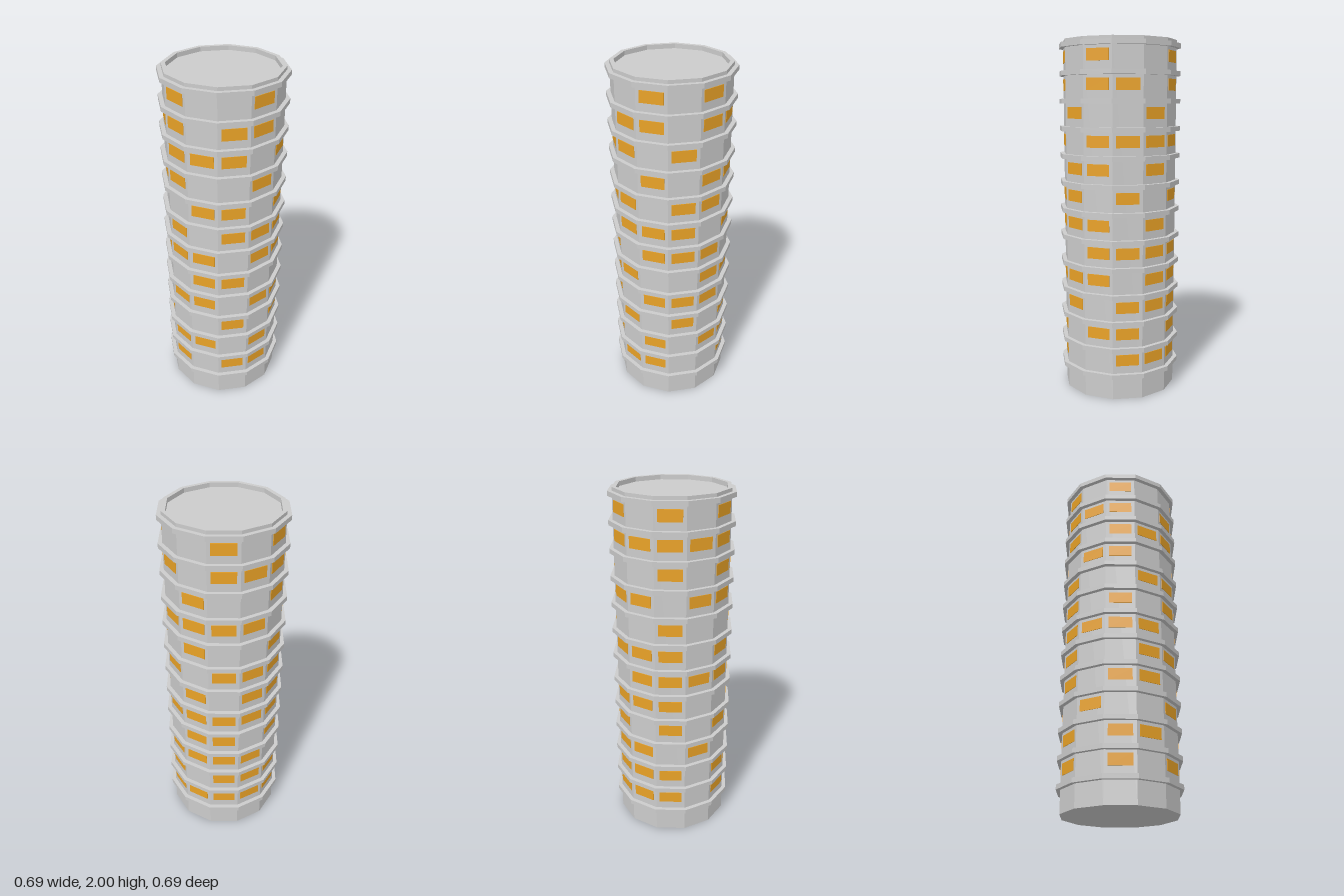
import * as THREE from 'three';

const SIDES = 12;
const RADIUS = 0.323;
const STEP = 0.1525; // storey height
const grey = new THREE.MeshStandardMaterial({ color: 0xcccccc, flatShading: true });
const amber = new THREE.MeshStandardMaterial({ color: 0xe9a227 });

// Lit windows per storey, top to bottom; one digit per facet, from the front round through +x
const LIT = [
  '101001010100',
  '101101111101',
  '010010010111',
  '101111101100',
  '011010010011',
  '110101110101',
  '111010111110',
  '001111110011',
  '111011010110',
  '010111101001',
  '101101110110',
  '100111110101',
];

function lathe(name, profile) {
  const points = profile.map(([r, y]) => new THREE.Vector2(r, y));
  const mesh = new THREE.Mesh(new THREE.LatheGeometry(points, SIDES), grey);
  mesh.name = name;
  return mesh;
}

export function createModel() {
  const tower = new THREE.Group();
  tower.name = 'tower';

  // Shaft with a shallow recessed roof behind a parapet
  tower.add(lathe('shaft', [[0, 0], [RADIUS, 0], [RADIUS, 2], [0.3, 2], [0.3, 1.975], [0, 1.975]]));

  // Floor bands
  for (let i = 0; i <= LIT.length; i++) {
    const band = lathe('floorBand', [[0.315, -0.013], [0.347, -0.013], [0.347, 0.013], [0.315, 0.013]]);
    band.position.y = 0.138 + i * STEP;
    tower.add(band);
  }

  // Windows, set flat on the facets
  const windows = new THREE.Group();
  windows.name = 'windows';
  const pane = new THREE.BoxGeometry(0.129, 0.064, 0.006);
  const apothem = RADIUS * Math.cos(Math.PI / SIDES);
  LIT.forEach((row, r) => {
    [...row].forEach((lit, k) => {
      if (lit !== '1') return;
      const angle = ((k + 0.5) * 2 * Math.PI) / SIDES;
      const mesh = new THREE.Mesh(pane, amber);
      mesh.name = 'window';
      mesh.position.set(Math.sin(angle) * apothem, 1.905 - r * STEP, Math.cos(angle) * apothem);
      mesh.rotation.y = angle;
      windows.add(mesh);
    });
  });
  tower.add(windows);
  return tower;
}
